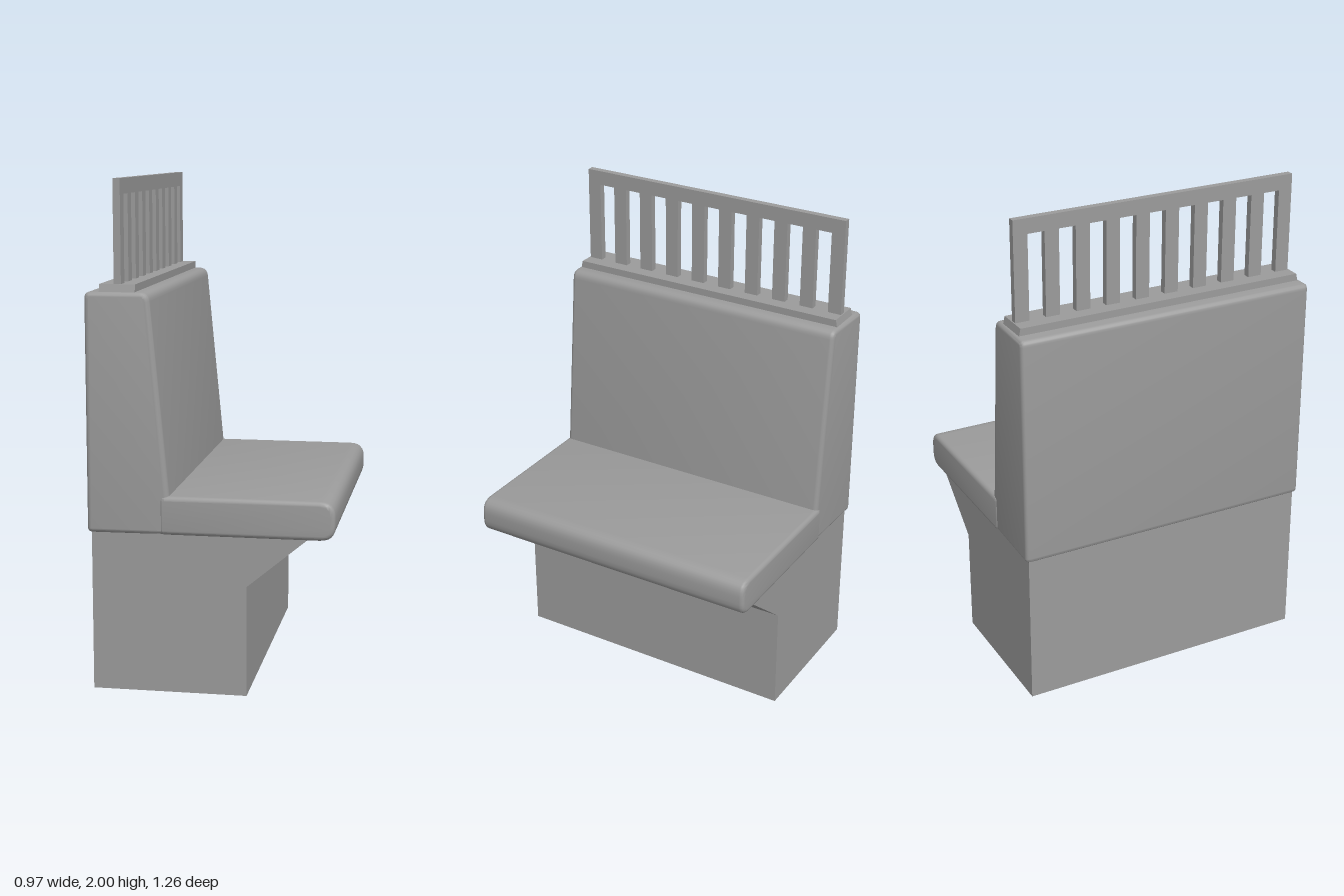
import * as THREE from 'three';
import { toCreasedNormals } from 'three/addons/utils/BufferGeometryUtils.js';

const material = new THREE.MeshStandardMaterial({ color: 0x9b9b9b });
const shellMaterial = new THREE.MeshStandardMaterial({ color: 0x9b9b9b, side: THREE.DoubleSide });

// Closed outline from [x, y, cornerRadius] points
function roundedShape(points) {
  const shape = new THREE.Shape();
  points.forEach(([x, y, r = 0], i) => {
    const p = new THREE.Vector2(x, y);
    const towards = (q) => new THREE.Vector2(q[0], q[1]).sub(p).setLength(r).add(p);
    const a = towards(points[(i + points.length - 1) % points.length]);
    const b = towards(points[(i + 1) % points.length]);
    if (i === 0) shape.moveTo(a.x, a.y);
    else shape.lineTo(a.x, a.y);
    if (r > 0) shape.quadraticCurveTo(x, y, b.x, b.y);
  });
  shape.closePath();
  return shape;
}

// Side profile extruded along z, centred, with softened end edges
function prism(points, width, bevel = 0) {
  const geometry = new THREE.ExtrudeGeometry(roundedShape(points), {
    depth: width - 2 * bevel,
    curveSegments: 6,
    bevelEnabled: bevel > 0,
    bevelSize: bevel,
    bevelThickness: bevel,
    bevelOffset: -bevel,
    bevelSegments: 4,
  });
  return geometry.translate(0, 0, bevel - width / 2);
}

// Drops the faces lying flat at the given heights, leaving an open shell
function openAt(geometry, heights) {
  const p = geometry.attributes.position;
  const kept = [];
  for (let i = 0; i < p.count; i += 3) {
    const flat = heights.some((h) => [0, 1, 2].every((k) => Math.abs(p.getY(i + k) - h) < 1e-4));
    if (flat) continue;
    for (let k = 0; k < 3; k++) kept.push(p.getX(i + k), p.getY(i + k), p.getZ(i + k));
  }
  const open = new THREE.BufferGeometry();
  open.setAttribute('position', new THREE.Float32BufferAttribute(kept, 3));
  open.computeVertexNormals();
  return open;
}

export function createModel() {
  const group = new THREE.Group();
  const add = (name, geometry, mat = material, parent = group) => {
    const mesh = new THREE.Mesh(geometry, mat);
    mesh.name = name;
    parent.add(mesh);
    return mesh;
  };

  // Hollow base with a sloping bracket under the seat, open underneath
  const base = prism([[-0.472, 0], [0.14, 0], [0.14, 0.44], [0.38, 0.64], [-0.472, 0.64]], 1.224);
  add('base', openAt(base, [0, 0.64]), shellMaterial);

  // Seat cushion with a rounded front lip
  const seat = prism([[-0.2, 0.635, 0.02], [0.482, 0.635, 0.06], [0.482, 0.788, 0.06], [-0.2, 0.788, 0.02]], 1.252, 0.018);
  add('seat', toCreasedNormals(seat, 0.7));

  // Backrest, leaning at the front and narrowing slightly towards it
  const back = prism([
    [-0.487, 0.635, 0.02], [-0.155, 0.635, 0.02], [-0.163, 0.79], [-0.237, 1.573, 0.035], [-0.487, 1.573, 0.025],
  ], 1.256, 0.018);
  const p = back.attributes.position;
  for (let i = 0; i < p.count; i++) p.setZ(i, p.getZ(i) * (1 - 0.04 * (p.getX(i) + 0.487)));
  add('backrest', toCreasedNormals(back, 0.7));

  // Plinth on top of the backrest, with chamfered ends
  const plinth = new THREE.BoxGeometry(0.14, 0.04, 1.224);
  const q = plinth.attributes.position;
  for (let i = 0; i < q.count; i++) if (q.getY(i) > 0) q.setZ(i, q.getZ(i) * 0.985);
  plinth.computeVertexNormals();
  add('railPlinth', plinth).position.set(-0.361, 1.582, 0);

  // Railing: top bar and ten evenly spaced uprights
  const railing = new THREE.Group();
  railing.name = 'railing';
  railing.position.x = -0.361;
  group.add(railing);
  add('topBar', new THREE.BoxGeometry(0.028, 0.06, 1.196), material, railing).position.y = 1.97;
  const upright = new THREE.BoxGeometry(0.028, 0.345, 0.058);
  for (let i = 0; i < 10; i++) {
    add('upright', upright, material, railing).position.set(0, 1.7675, -0.569 + (i * 1.138) / 9);
  }
  return group;
}
